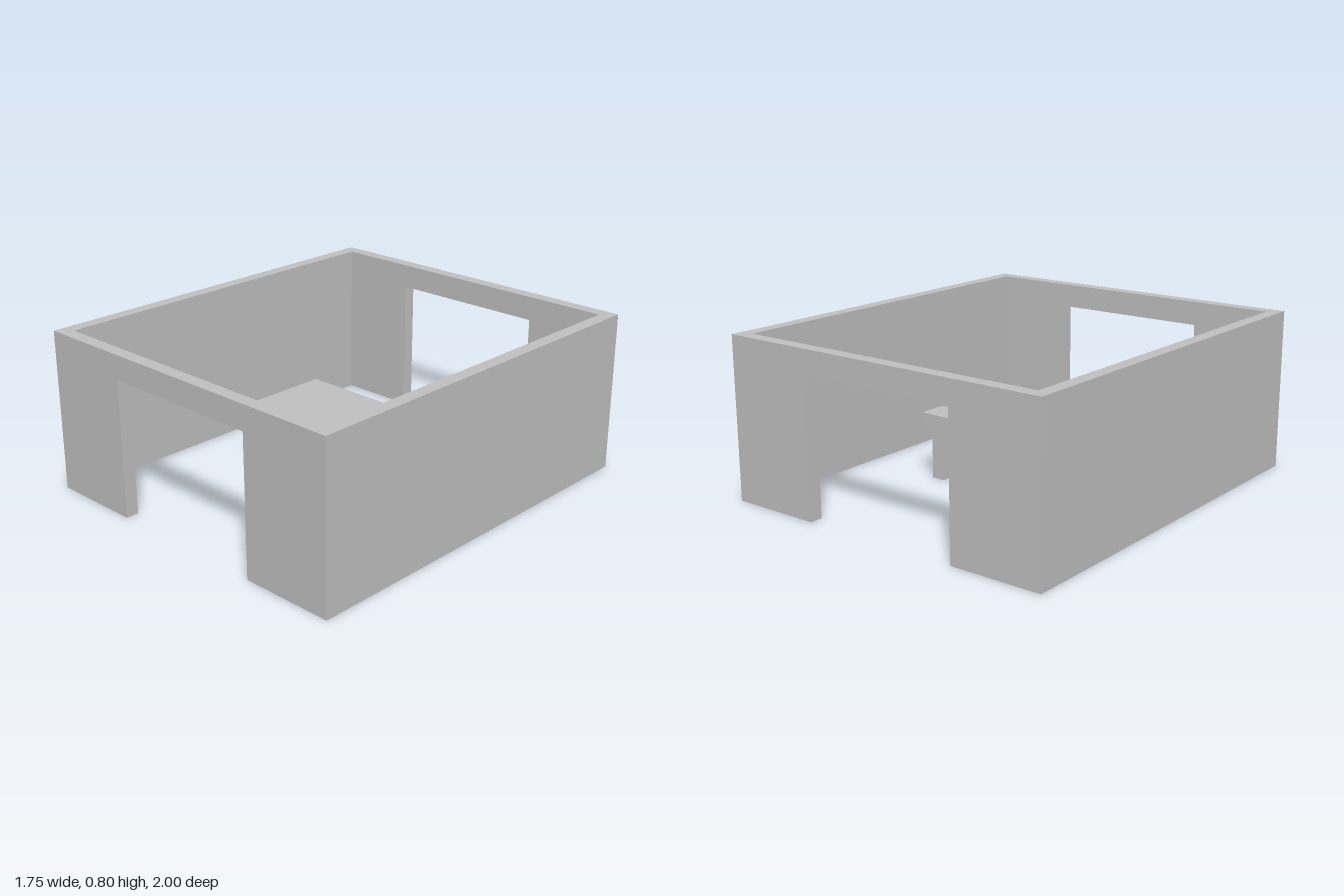
import * as THREE from 'three';

const W = 0.875, D = 1, H = 0.8, T = 0.065; // half width, half depth, height, wall thickness
const DOOR_W = 0.41, DOOR_H = 0.68;         // half width and height of the openings

export function createModel() {
  const grey = new THREE.MeshStandardMaterial({ color: 0xc0c0c0 });
  grey.name = 'plain grey';
  const model = new THREE.Group();
  model.name = 'walledTable';

  const add = (name, geometry, x, y, z, parent = model) => {
    const mesh = new THREE.Mesh(geometry, grey);
    mesh.name = name;
    mesh.position.set(x, y, z);
    parent.add(mesh);
  };

  // End walls, each with a wide doorway open to the floor
  const outline = new THREE.Shape([
    [-W, 0], [-DOOR_W, 0], [-DOOR_W, DOOR_H], [DOOR_W, DOOR_H],
    [DOOR_W, 0], [W, 0], [W, H], [-W, H],
  ].map(([x, y]) => new THREE.Vector2(x, y)));
  const endWall = new THREE.ExtrudeGeometry(outline, { depth: T, bevelEnabled: false });
  add('frontWall', endWall, 0, 0, D - T);
  add('backWall', endWall, 0, 0, -D);

  // Solid side walls fitted between the end walls
  const sideWall = new THREE.BoxGeometry(T, H, 2 * (D - T));
  add('leftWall', sideWall, W - T / 2, H / 2, 0);
  add('rightWall', sideWall, -W + T / 2, H / 2, 0);

  // Low table in the middle: a slab on two panel legs
  const table = new THREE.Group();
  table.name = 'table';
  model.add(table);
  add('tableTop', new THREE.BoxGeometry(0.82, 0.07, 0.48), 0, 0.305, 0, table);
  const leg = new THREE.BoxGeometry(0.068, 0.27, 0.4);
  add('leftTableLeg', leg, 0.35, 0.135, 0, table);
  add('rightTableLeg', leg, -0.35, 0.135, 0, table);

  return model;
}
